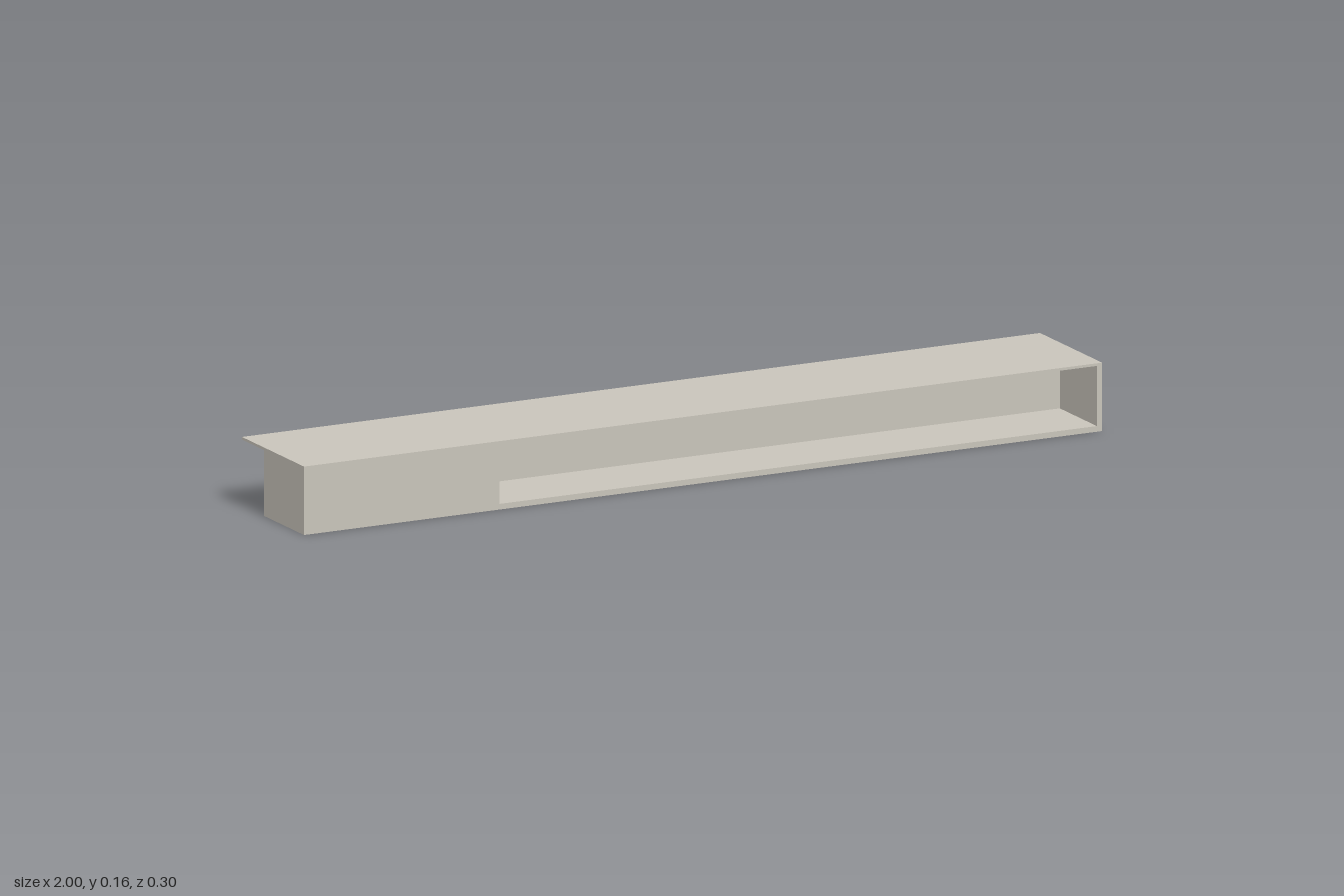
import * as THREE from 'three';

export function createModel() {
  const model = new THREE.Group();
  const stone = new THREE.MeshStandardMaterial({ color: 0xc8c4ba });
  stone.name = 'warm grey';

  // Box given by its minimum and maximum corners
  function panel(name, [x0, y0, z0], [x1, y1, z1]) {
    const mesh = new THREE.Mesh(new THREE.BoxGeometry(x1 - x0, y1 - y0, z1 - z0), stone);
    mesh.position.set((x0 + x1) / 2, (y0 + y1) / 2, (z0 + z1) / 2);
    mesh.name = name;
    model.add(mesh);
  }

  const t = 0.013;                      // board thickness
  const under = 0.151, top = 0.157;     // thin top board
  const back = -0.042, front = 0.149;   // box depth
  const doorEdge = -0.51;

  // Top board, overhanging at the back
  panel('topBoard', [-1, under, -0.149], [1, top, front]);

  // Open box below it
  panel('bottomBoard', [-1, 0, back], [1, t, front - t]);
  panel('bottomFrontEdge', [doorEdge, 0, front - t], [1, t, front]);
  panel('backBoard', [-1 + t, t, back], [1 - t, under, back + t]);
  panel('rightEnd', [-1, t, back], [-1 + t, under, front - t]);
  panel('leftEnd', [1 - t, t, back], [1, under, front]);

  // Front panel closing a quarter of the box
  panel('frontPanel', [-1, 0, front - t], [doorEdge, under, front]);

  return model;
}
